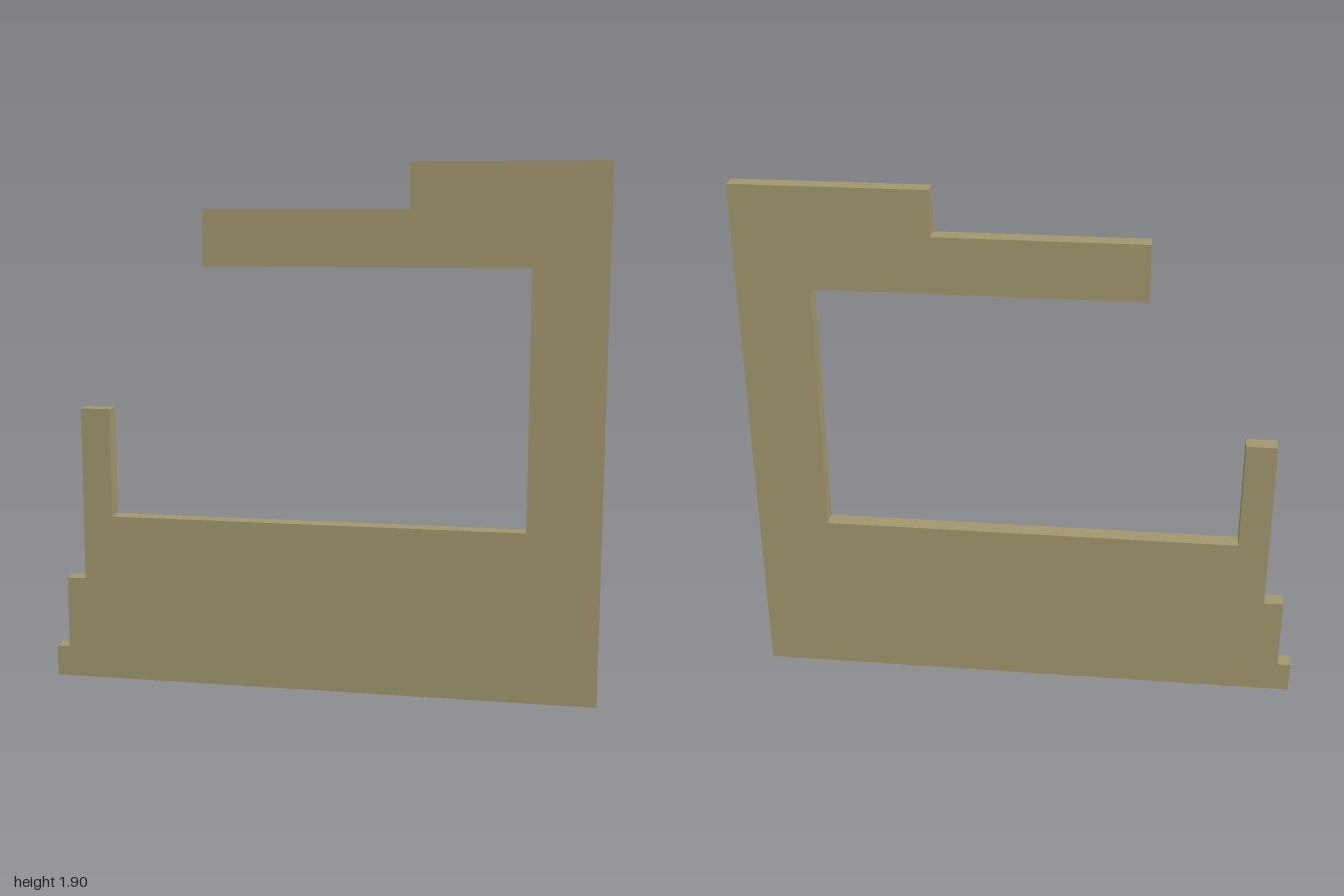
import * as THREE from 'three';

const THICKNESS = 0.064;

export function createModel() {
  const group = new THREE.Group();
  group.name = 'wallPanel';

  // Outline, counter-clockwise from the lower left corner
  const outline = [
    [-1, 0], [1, 0], [1, 1.9],
    // stepped upper arm
    [0.32, 1.9], [0.32, 1.74], [-0.415, 1.74], [-0.415, 1.54], [0.74, 1.54],
    // opening and sill
    [0.74, 0.62], [-0.772, 0.62],
    // post and stepped foot
    [-0.772, 1.02], [-0.882, 1.02], [-0.882, 0.38], [-0.952, 0.38], [-0.952, 0.113], [-1, 0.113],
  ];
  const shape = new THREE.Shape(outline.map(([x, y]) => new THREE.Vector2(x, y)));

  // One flat slab, centred in depth
  const geometry = new THREE.ExtrudeGeometry(shape, { depth: THICKNESS, bevelEnabled: false });
  geometry.translate(0, 0, -THICKNESS / 2);

  const material = new THREE.MeshStandardMaterial({ color: 0xa0966c });
  const panel = new THREE.Mesh(geometry, material);
  panel.name = 'panel';
  group.add(panel);
  return group;
}
